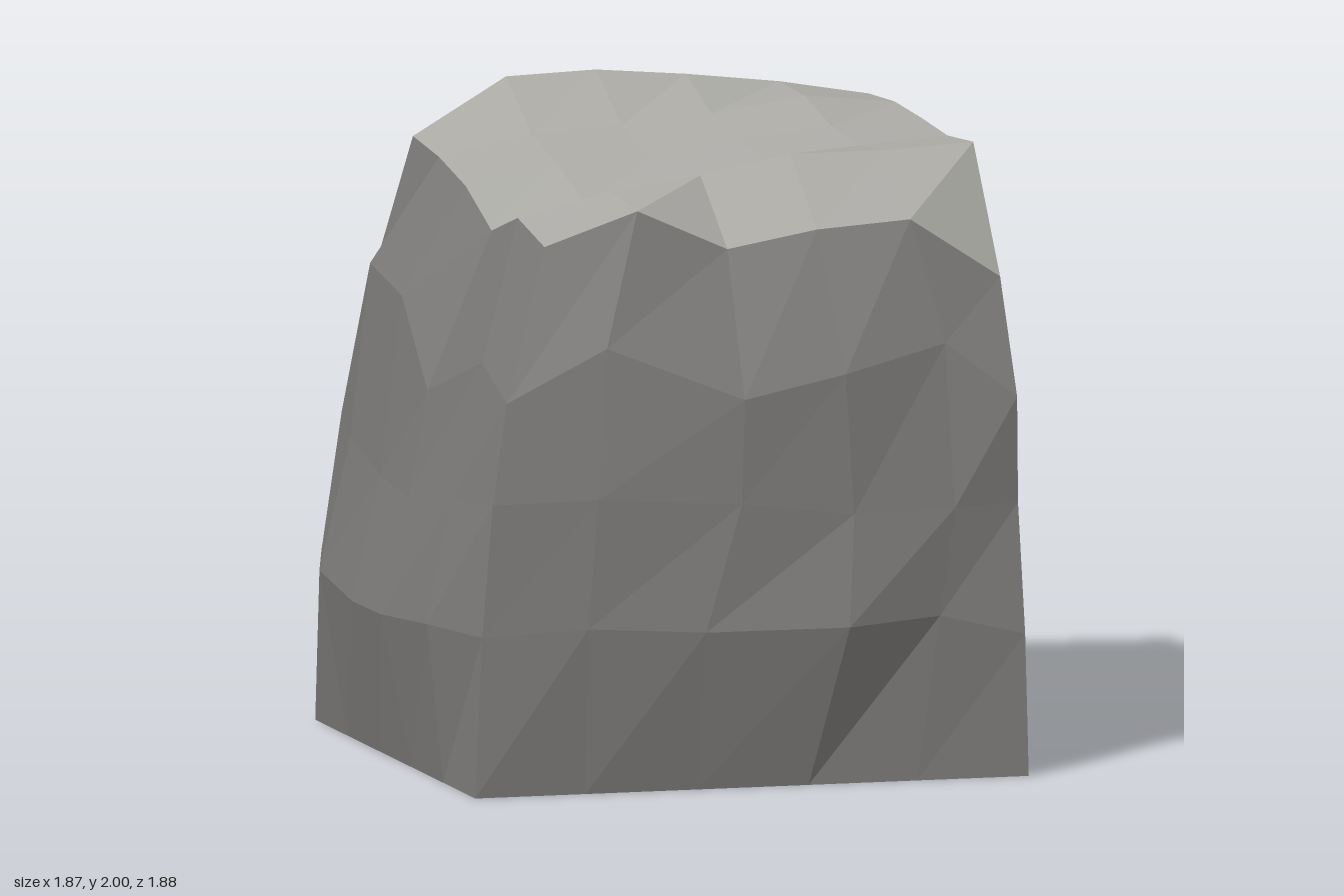
import * as THREE from 'three';

const stone = new THREE.MeshStandardMaterial({ color: 0x7d7b79, flatShading: true, side: THREE.DoubleSide });
stone.name = 'cliff stone';
const topStone = new THREE.MeshStandardMaterial({ color: 0xaaa9a4, flatShading: true, side: THREE.DoubleSide });
topStone.name = 'plateau stone';

function build(points, index, material, name) {
  const g = new THREE.BufferGeometry();
  g.setAttribute('position', new THREE.Float32BufferAttribute(points.flat(), 3));
  g.setIndex(index);
  g.computeVertexNormals();
  const mesh = new THREE.Mesh(g, material);
  mesh.name = name;
  return mesh;
}

// Sheet of quads through rows of points (columns run right, rows run up)
function sheet(rows, material, name) {
  const n = rows[0].length;
  const index = [];
  for (let r = 0; r < rows.length - 1; r++) {
    for (let c = 0; c < n - 1; c++) {
      const a = r * n + c;
      index.push(a, a + 1, a + n + 1, a, a + n + 1, a + n);
    }
  }
  return build(rows.flat(), index, material, name);
}

// Flat cut face fanned out from its inner bottom corner
function cutFace(outline, name) {
  const index = [];
  for (let i = 1; i < outline.length; i++) index.push(0, i, i + 1);
  return build([[0.93, 0, -0.94], ...outline], index, stone, name);
}

export function createModel() {
  const group = new THREE.Group();
  group.name = 'cliffCornerBlock';

  // Plateau: regular grid of heights, front row first
  const xs = [-0.54, -0.24, 0.05, 0.34, 0.64, 0.93];
  const zs = [0.53, 0.23, -0.06, -0.35, -0.65, -0.94];
  const heights = [
    [1.67, 1.77, 1.64, 1.69, 1.71, 1.52],
    [1.72, 1.79, 1.83, 1.885, 1.885, 1.9],
    [1.64, 1.71, 1.76, 1.81, 1.86, 1.88],
    [1.74, 1.79, 1.8, 1.85, 1.88, 1.895],
    [1.79, 1.85, 1.865, 1.89, 1.935, 1.905],
    [1.815, 1.99, 2.0, 1.975, 1.94, 1.89],
  ];
  const plateau = heights.map((row, r) => row.map((y, c) => [xs[c], y, zs[r]]));
  group.add(sheet(plateau, topStone, 'plateau'));

  // Front cliff, bottom row to top row
  const front = [
    [[-0.855, 0, 0.85], [-0.5, 0, 0.85], [-0.14, 0, 0.85], [0.22, 0, 0.85], [0.57, 0, 0.85], [0.93, 0, 0.85]],
    [[-0.83, 0.5, 0.84], [-0.5, 0.52, 0.885], [-0.13, 0.5, 0.92], [0.33, 0.5, 0.935], [0.65, 0.51, 0.83], [0.93, 0.44, 0.81]],
    [[-0.79, 0.91, 0.82], [-0.46, 0.92, 0.86], [0, 0.89, 0.87], [0.37, 0.84, 0.84], [0.71, 0.84, 0.79], [0.93, 0.84, 0.73]],
    [[-0.73, 1.22, 0.77], [-0.41, 1.38, 0.78], [0.02, 1.21, 0.83], [0.36, 1.27, 0.78], [0.71, 1.34, 0.68], [0.93, 1.17, 0.72]],
    plateau[0],
  ];
  group.add(sheet(front, stone, 'frontCliff'));

  // Side cliff, from the back edge to the corner shared with the front
  const side = [
    [[-0.855, 0, -0.94], [-0.855, 0, -0.58], [-0.855, 0, -0.22], [-0.855, 0, 0.13], [-0.855, 0, 0.49]],
    [[-0.835, 0.53, -0.94], [-0.905, 0.5, -0.72], [-0.935, 0.47, -0.25], [-0.93, 0.47, 0.05], [-0.91, 0.5, 0.5]],
    [[-0.77, 0.96, -0.94], [-0.81, 0.92, -0.7], [-0.83, 0.85, -0.3], [-0.835, 0.83, 0.03], [-0.82, 0.88, 0.46]],
    [[-0.68, 1.35, -0.94], [-0.73, 1.45, -0.76], [-0.735, 1.4, -0.39], [-0.77, 1.16, 0.02], [-0.71, 1.3, 0.42]],
    plateau.slice(1).reverse().map((row) => row[0]),
  ].map((row, r) => [...row, front[r][0]]);
  group.add(sheet(side, stone, 'sideCliff'));

  // Flat cut faces at the back and the opposite side; the underside is open
  const backEdge = side.map((row) => row[0]);
  group.add(cutFace([...backEdge, ...plateau[5].slice(1)], 'backCutFace'));
  const frontEdge = front.map((row) => row[5]).reverse();
  const topEdge = plateau.slice(1).reverse().map((row) => row[5]);
  group.add(cutFace([...topEdge, ...frontEdge], 'sideCutFace'));

  return group;
}
